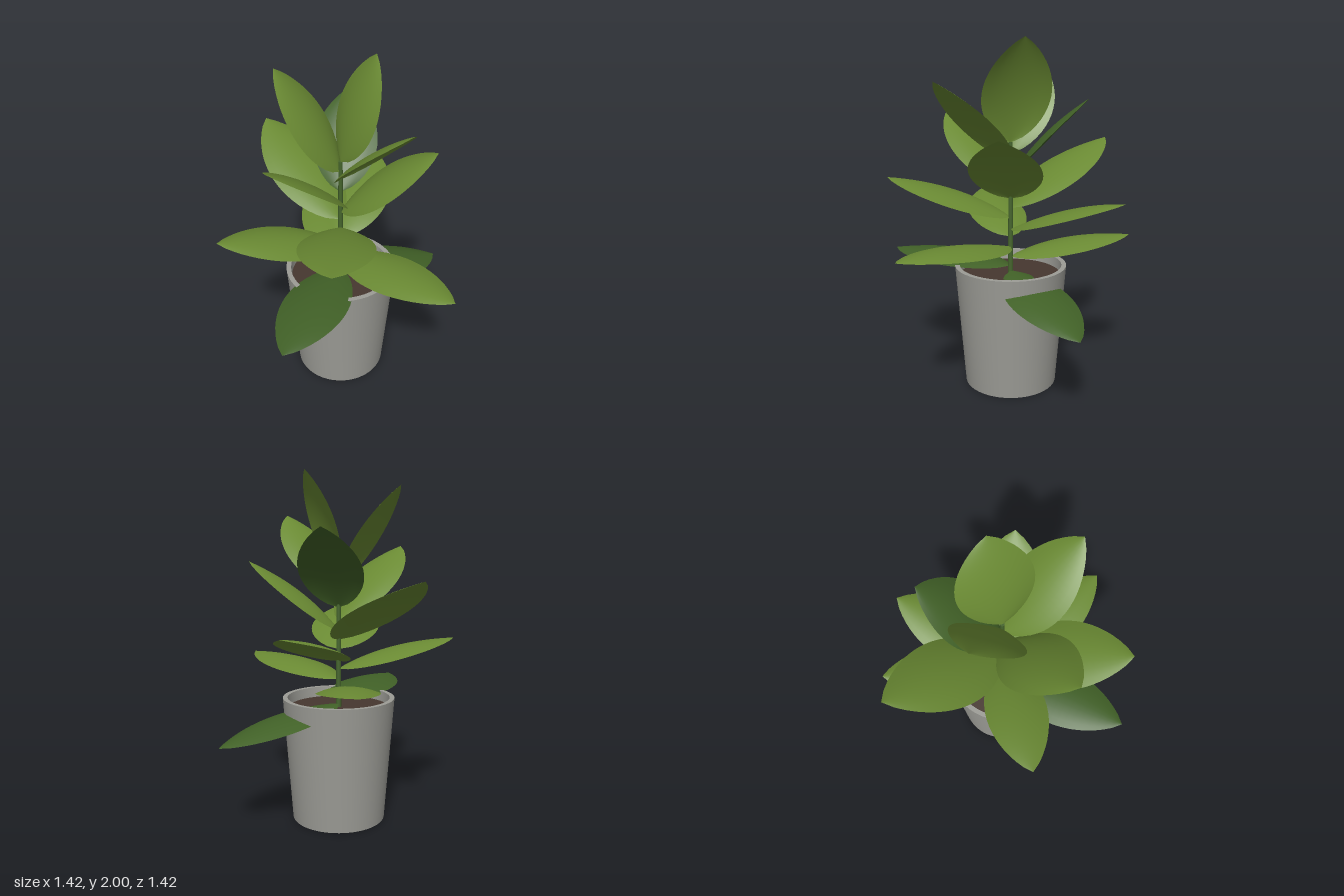
import * as THREE from 'three';
import { toCreasedNormals } from 'three/addons/utils/BufferGeometryUtils.js';

const material = (name, color, side = THREE.FrontSide) => {
  const m = new THREE.MeshStandardMaterial({ color, side });
  m.name = name;
  return m;
};

// Ovate blade from the stem to its tip: arched along its length, edges drooping
function leafGeometry(baseY, tip, width) {
  const base = new THREE.Vector3(0, baseY, 0);
  const dir = new THREE.Vector3(...tip).sub(base);
  const length = dir.length();
  dir.normalize();
  const side = new THREE.Vector3().crossVectors(dir, new THREE.Vector3(0, 1, 0)).normalize();
  const normal = new THREE.Vector3().crossVectors(side, dir);

  const geometry = new THREE.PlaneGeometry(2, 1, 8, 18);
  const pos = geometry.attributes.position;
  const p = new THREE.Vector3();
  for (let i = 0; i < pos.count; i++) {
    const u = pos.getX(i);
    const t = THREE.MathUtils.clamp(pos.getY(i) + 0.5, 0, 1);
    const w = (t ** 0.75 * (1 - t) ** 0.85) / 0.331;
    p.copy(base)
      .addScaledVector(dir, length * t)
      .addScaledVector(side, (width / 2) * w * u)
      .addScaledVector(normal, 0.14 * t * (1 - t) - 0.035 * w * u * u);
    pos.setXYZ(i, p.x, p.y, p.z);
  }
  geometry.computeVertexNormals();
  return geometry;
}

export function createModel() {
  const plant = new THREE.Group();
  plant.name = 'pottedPlant';
  const potGrey = material('potGrey', 0x9c9c96);
  const soilBrown = material('soilBrown', 0x46372f);
  const stemGreen = material('stemGreen', 0x45642c);
  const leafGreen = material('leafGreen', 0x6a8a33, THREE.DoubleSide);
  const darkLeafGreen = material('darkLeafGreen', 0x416127, THREE.DoubleSide);

  const add = (name, geometry, mat, y = 0) => {
    const mesh = new THREE.Mesh(geometry, mat);
    mesh.name = name;
    mesh.position.y = y;
    plant.add(mesh);
  };

  // Tapered pot with a thin wall
  const profile = [[0, 0], [0.27, 0], [0.325, 0.72], [0.297, 0.72], [0.291, 0.64]]
    .map(([x, y]) => new THREE.Vector2(x, y));
  add('pot', toCreasedNormals(new THREE.LatheGeometry(profile, 48), 0.6), potGrey);

  // Soil disc and stem
  add('soil', new THREE.CircleGeometry(0.293, 48).rotateX(-Math.PI / 2), soilBrown, 0.66);
  add('stem', new THREE.CylinderGeometry(0.012, 0.016, 0.8, 12), stemGreen, 1.035);

  // Leaves spiralling up the stem: base height, tip, width, material
  const leaves = [
    [0.68, [0.71, 0.51, -0.155], 0.37, darkLeafGreen],
    [0.71, [-0.525, 0.725, 0.6], 0.37, darkLeafGreen],
    [0.765, [0.09, 0.868, -0.71], 0.34, leafGreen],
    [0.825, [0.38, 0.9, 0.71], 0.35, leafGreen],
    [0.885, [-0.71, 1.045, -0.02], 0.35, leafGreen],
    [0.93, [0.435, 1.135, -0.51], 0.36, leafGreen],
    [1.0, [-0.28, 1.22, 0.665], 0.42, leafGreen],
    [1.055, [-0.24, 1.415, -0.685], 0.42, leafGreen],
    [1.11, [0.48, 1.5, 0.2], 0.4, leafGreen],
    [1.17, [-0.47, 1.59, 0.26], 0.4, leafGreen],
    [1.24, [0.2, 1.68, -0.385], 0.36, darkLeafGreen],
    [1.32, [0.2, 1.775, 0.465], 0.37, leafGreen],
    [1.37, [-0.285, 1.91, -0.225], 0.39, leafGreen],
    [1.43, [0.2, 2.0, -0.02], 0.41, leafGreen],
  ];
  leaves.forEach(([y, tip, width, mat], i) => add(`leaf${i + 1}`, leafGeometry(y, tip, width), mat));

  return plant;
}
